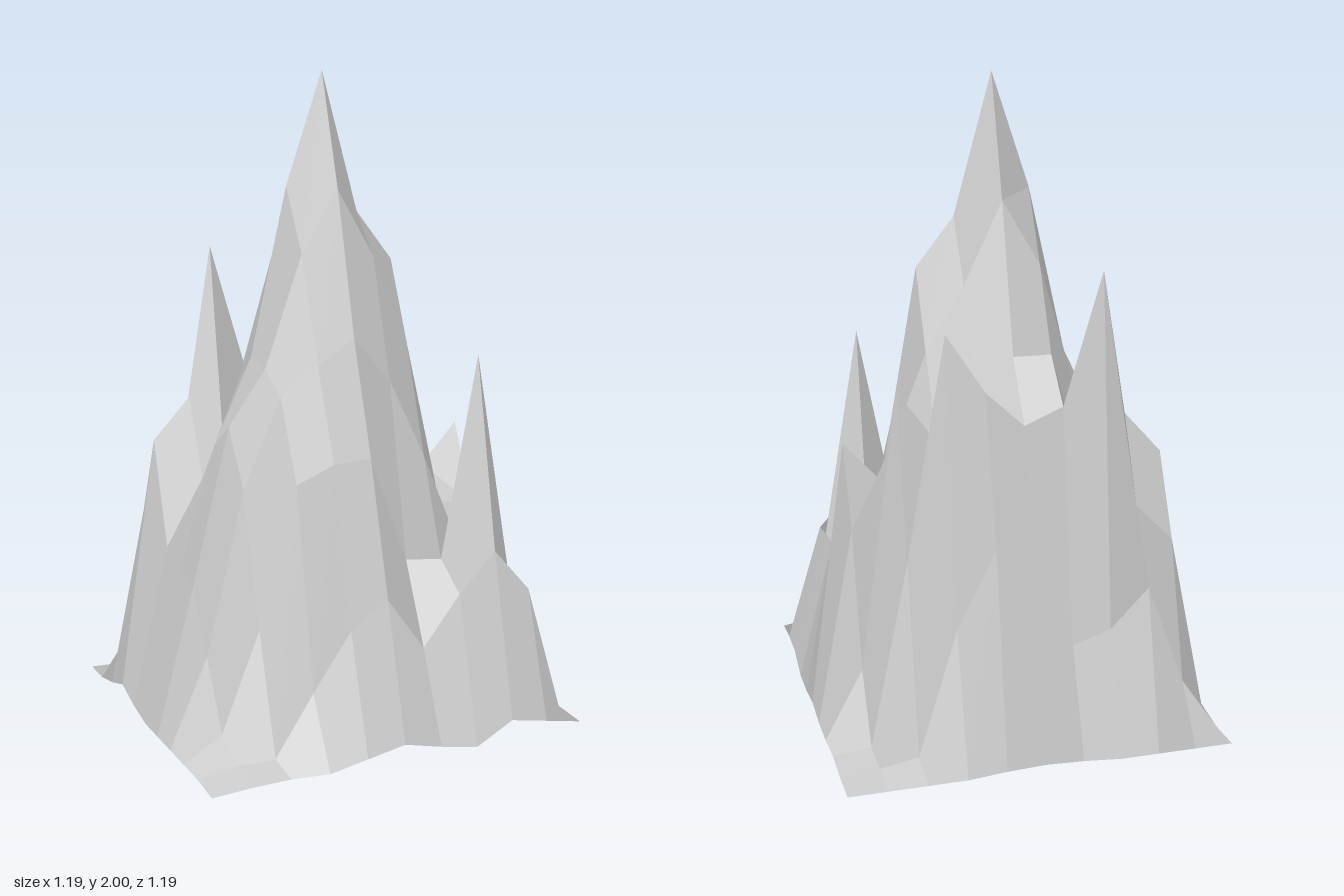
import * as THREE from 'three';

// Terrain heights in hundredths: rows run from back to front, columns from right (-x) to left (+x)
const HEIGHTS = [
  [1, 1, 1, 1, 2, 2.5, 2, 1, 1, 1, 1],
  [1, 18, 50, 38, 34, 55, 67, 43, 4, 2, 1],
  [3, 60, 72, 145, 105, 100, 111, 129, 61, 3, 2],
  [6, 85, 98, 76, 118, 118, 112, 94, 110, 23, 1],
  [3, 53, 74, 103, 143, 163, 138, 118, 88, 64, 1],
  [1, 49, 87, 113, 165, 200, 157, 142, 75, 88, 2.5],
  [1, 46, 94, 111, 145, 164, 144, 116, 65, 63, 1],
  [1, 28, 77, 104, 113, 120, 107, 83, 55, 47, 1],
  [1, 8, 38, 80, 85, 86, 54, 53, 115, 46, 5],
  [1, 3, 3, 21, 38, 46, 30, 45, 57, 44, 5],
  [0, 1, 1.5, 1, 3.5, 6, 3.5, 1.5, 8, 6, 4],
];
const CELLS = 10;
const WIDTH = 1.19;

// Cells (row,column) creased along one diagonal or the other; all others are shaded as one facet
const CREASED = ['2,3', '2,7', '4,4', '4,8', '7,7'];
const CREASED_FLIPPED = ['2,6', '3,7', '5,8'];

function corner(row, col) {
  return new THREE.Vector3(
    (col / CELLS - 0.5) * WIDTH,
    HEIGHTS[row][col] / 100,
    (row / CELLS - 0.5) * WIDTH,
  );
}

// Normal of a triangle (p, q, r), or of a four-sided facet from its two diagonals
function facetNormal(p, q, r, s = p) {
  const first = r.clone().sub(p);
  const second = s.clone().sub(q);
  return first.cross(second).normalize();
}

function mountainGeometry() {
  const positions = [];
  const normals = [];
  const addTriangle = (points, normal) => {
    for (const point of points) {
      positions.push(...point.toArray());
      normals.push(...normal.toArray());
    }
  };
  for (let row = 0; row < CELLS; row++) {
    for (let col = 0; col < CELLS; col++) {
      const a = corner(row, col);
      const b = corner(row + 1, col);
      const c = corner(row + 1, col + 1);
      const d = corner(row, col + 1);
      const key = `${row},${col}`;
      const flipped = CREASED_FLIPPED.includes(key);
      const creased = flipped || CREASED.includes(key);
      const triangles = flipped ? [[a, b, c], [a, c, d]] : [[a, b, d], [b, c, d]];
      for (const points of triangles) {
        addTriangle(points, creased ? facetNormal(...points) : facetNormal(a, b, c, d));
      }
    }
  }
  const geometry = new THREE.BufferGeometry();
  geometry.setAttribute('position', new THREE.Float32BufferAttribute(positions, 3));
  geometry.setAttribute('normal', new THREE.Float32BufferAttribute(normals, 3));
  return geometry;
}

export function createModel() {
  const group = new THREE.Group();
  group.name = 'mountain';
  // Open faceted shell, hollow underneath
  const material = new THREE.MeshStandardMaterial({ color: 0xcccccc, side: THREE.DoubleSide });
  const terrain = new THREE.Mesh(mountainGeometry(), material);
  terrain.name = 'mountainTerrain';
  group.add(terrain);
  return group;
}
